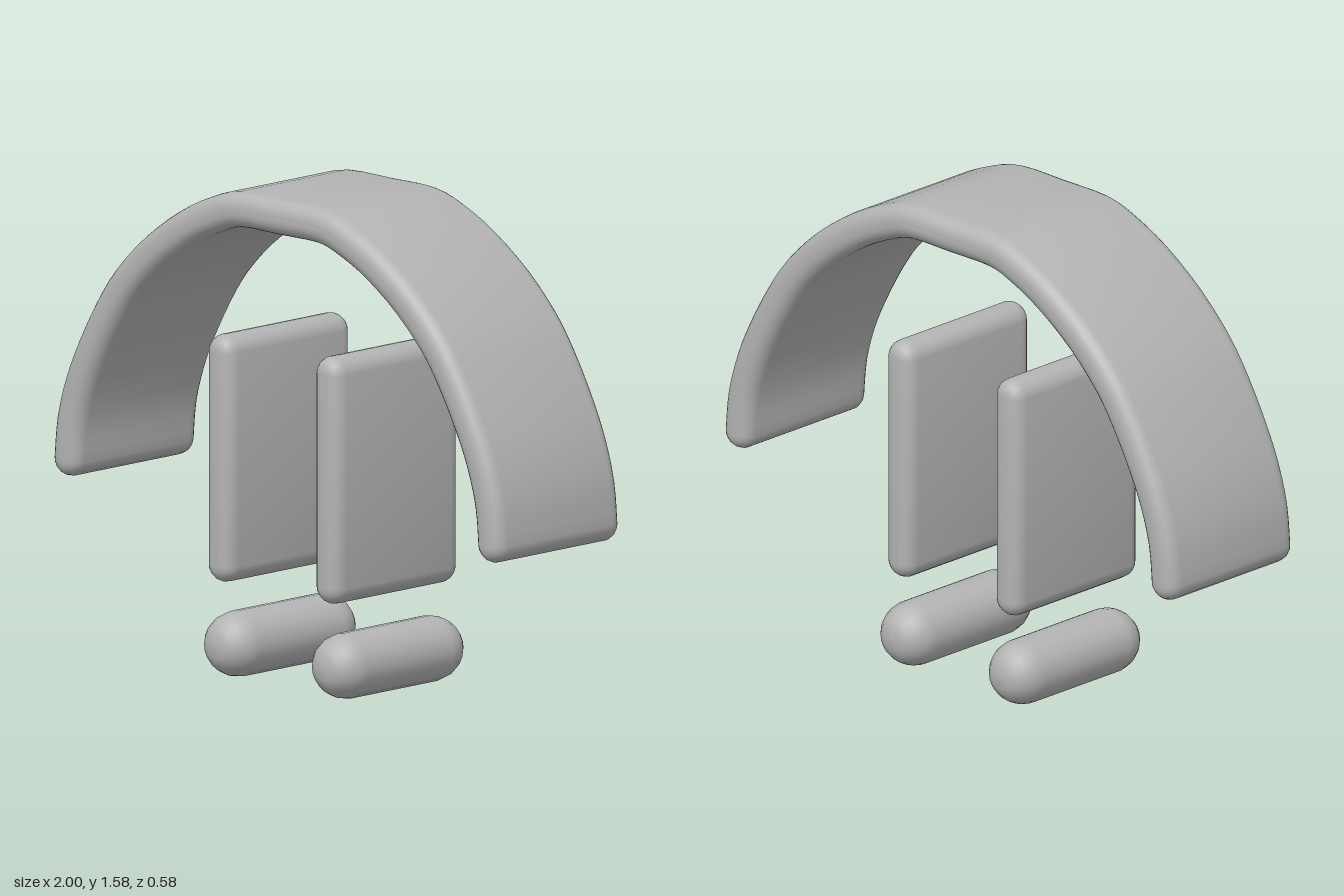
import * as THREE from 'three';
import { toCreasedNormals } from 'three/addons/utils/BufferGeometryUtils.js';

const HALF = 0.057;   // half thickness of every slab
const CORE = 0.009;   // half thickness before rounding
const DEPTH = 0.56;

// Rounded slab following a centre line in the xy plane, extruded along z
function slabGeometry(line, half = HALF) {
  const n = line.length;
  const dir = i => line[Math.min(i + 1, n - 1)].clone().sub(line[Math.max(i - 1, 0)]).normalize();
  const outline = [];
  const side = (i, s) => {
    const d = dir(i);
    outline.push(new THREE.Vector2(line[i].x - d.y * CORE * s, line[i].y + d.x * CORE * s));
  };
  const tip = (i, start) => {
    for (let k = 1; k < 8; k++) {
      const a = start - (k / 8) * Math.PI;
      outline.push(new THREE.Vector2(line[i].x + Math.cos(a) * CORE, line[i].y + Math.sin(a) * CORE));
    }
  };
  for (let i = 0; i < n; i++) side(i, 1);
  const e = dir(n - 1), b = dir(0);
  tip(n - 1, Math.atan2(e.y, e.x) + Math.PI / 2);
  for (let i = n - 1; i >= 0; i--) side(i, -1);
  tip(0, Math.atan2(b.y, b.x) - Math.PI / 2);

  const bevel = half - CORE;
  const geo = new THREE.ExtrudeGeometry(new THREE.Shape(outline), {
    depth: DEPTH - 2 * bevel, bevelEnabled: true, bevelSize: bevel,
    bevelThickness: bevel, bevelSegments: 6, steps: 1,
  });
  geo.translate(0, 0, bevel - DEPTH / 2);
  return toCreasedNormals(geo, 0.7);
}

export function createModel() {
  const group = new THREE.Group();
  const grey = new THREE.MeshStandardMaterial({ color: 0xb4b4b4 });
  grey.name = 'plainGrey';
  const add = (name, geo, x = 0, y = 0) => {
    const mesh = new THREE.Mesh(geo, grey);
    mesh.name = name;
    mesh.position.set(x, y, 0);
    group.add(mesh);
  };

  // Arched canopy: mirrored centre line with a flat crown
  const half = [[0.18, 1.518], [0.29, 1.487], [0.42, 1.425], [0.565, 1.325], [0.685, 1.21],
    [0.765, 1.1], [0.84, 0.97], [0.893, 0.855], [0.93, 0.73], [0.943, 0.607]];
  const pts = [...half.slice().reverse().map(([x, y]) => [-x, y]), [0, 1.519], ...half];
  const curve = new THREE.SplineCurve(pts.map(p => new THREE.Vector2(...p)));
  add('archCanopy', slabGeometry(curve.getPoints(60)));

  // Two upright panels
  const upright = slabGeometry([0.368, 0.7, 1.048].map(y => new THREE.Vector2(0, y)));
  add('rightPanel', upright, -0.257);
  add('leftPanel', upright, 0.223);

  // Two rounded rollers lying along z
  const profile = [[0, 0.29], [0.035, 0.287], [0.062, 0.275], [0.083, 0.253], [0.098, 0.225], [0.105, 0.19]];
  const full = [...profile.map(([r, z]) => [r, -z]), ...profile.slice().reverse()];
  const roller = new THREE.LatheGeometry(full.map(p => new THREE.Vector2(...p)), 20);
  roller.rotateX(Math.PI / 2);
  add('rightRoller', roller, -0.25, 0.105);
  add('leftRoller', roller, 0.23, 0.105);

  return group;
}
